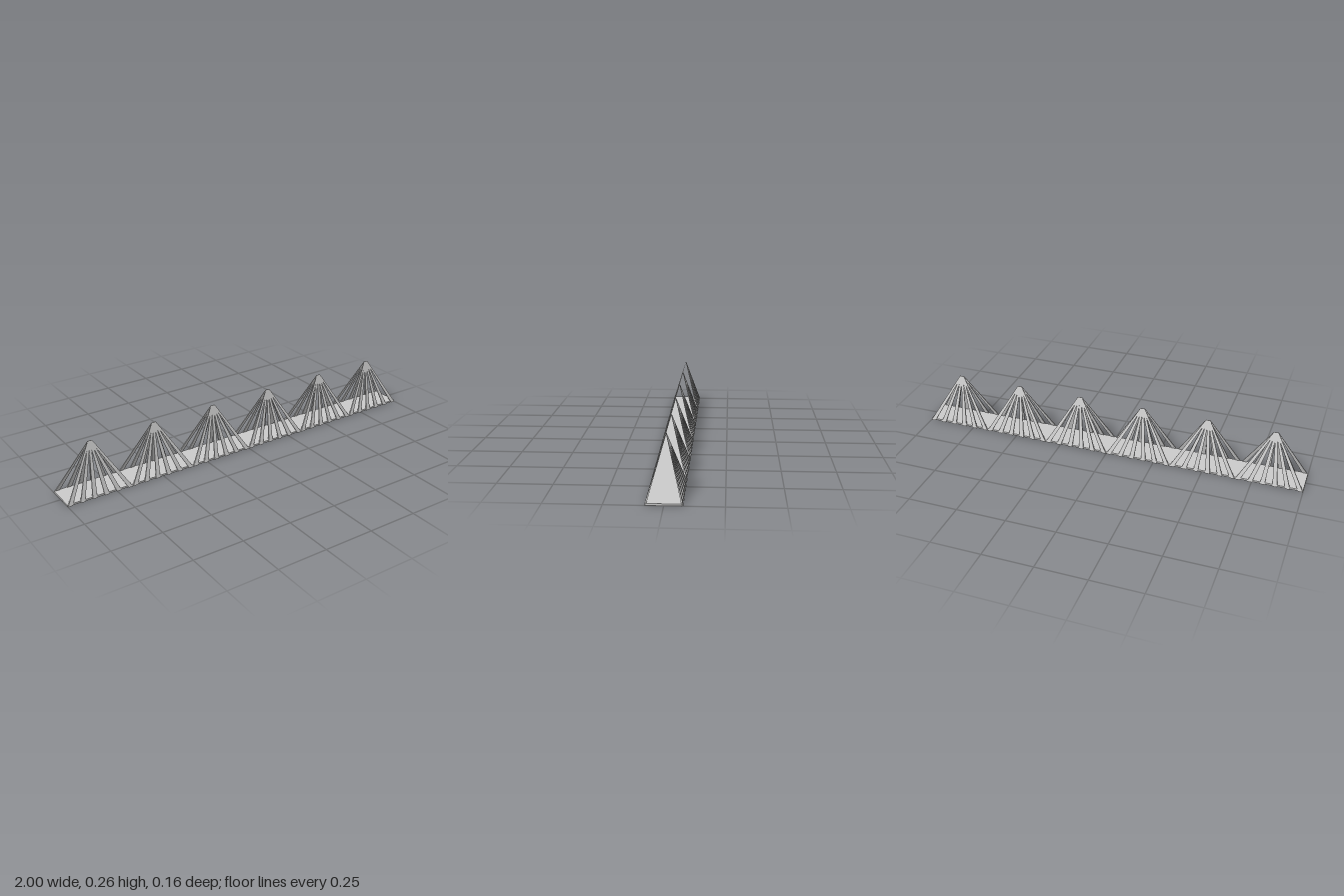
import * as THREE from 'three';

const BAYS = 6, BAY = 2 / BAYS, FEET = 6;
const HEIGHT = 0.257;

// Flat bar tapering from a rectangle on the ground to a thin tip
function taperedBar(foot, tip) {
  const geo = new THREE.BoxGeometry(1, 1, 1);
  const p = geo.attributes.position;
  for (let i = 0; i < p.count; i++) {
    const end = p.getY(i) > 0 ? tip : foot;
    p.setXYZ(i, end.x + p.getX(i) * end.w, end.y, end.z + p.getZ(i) * end.d);
  }
  geo.computeVertexNormals();
  return geo;
}

export function createModel() {
  const model = new THREE.Group();
  const material = new THREE.MeshStandardMaterial({ color: 0xcccccc, flatShading: true });

  // Long base plate
  const base = new THREE.Mesh(new THREE.BoxGeometry(2, 0.009, 0.15), material);
  base.name = 'basePlate';
  base.position.y = 0.0045;
  model.add(base);

  // Each bay: a fan of struts on both sides meeting at one peak
  for (let b = 0; b < BAYS; b++) {
    const bay = new THREE.Group();
    bay.name = 'strutFan';
    bay.position.x = -1 + BAY * (b + 0.5);
    for (const side of [-1, 1]) {
      for (let i = 0; i < FEET; i++) {
        const x = (i / (FEET - 1) - 0.5) * (BAY - 0.024);
        const strut = new THREE.Mesh(taperedBar(
          { x, y: 0, z: side * 0.0765, w: 0.023, d: 0.007 },
          { x: x * 0.04, y: HEIGHT, z: side * 0.0005, w: 0.01, d: 0.001 }
        ), material);
        strut.name = 'strut';
        bay.add(strut);
      }
    }
    model.add(bay);
  }
  return model;
}
